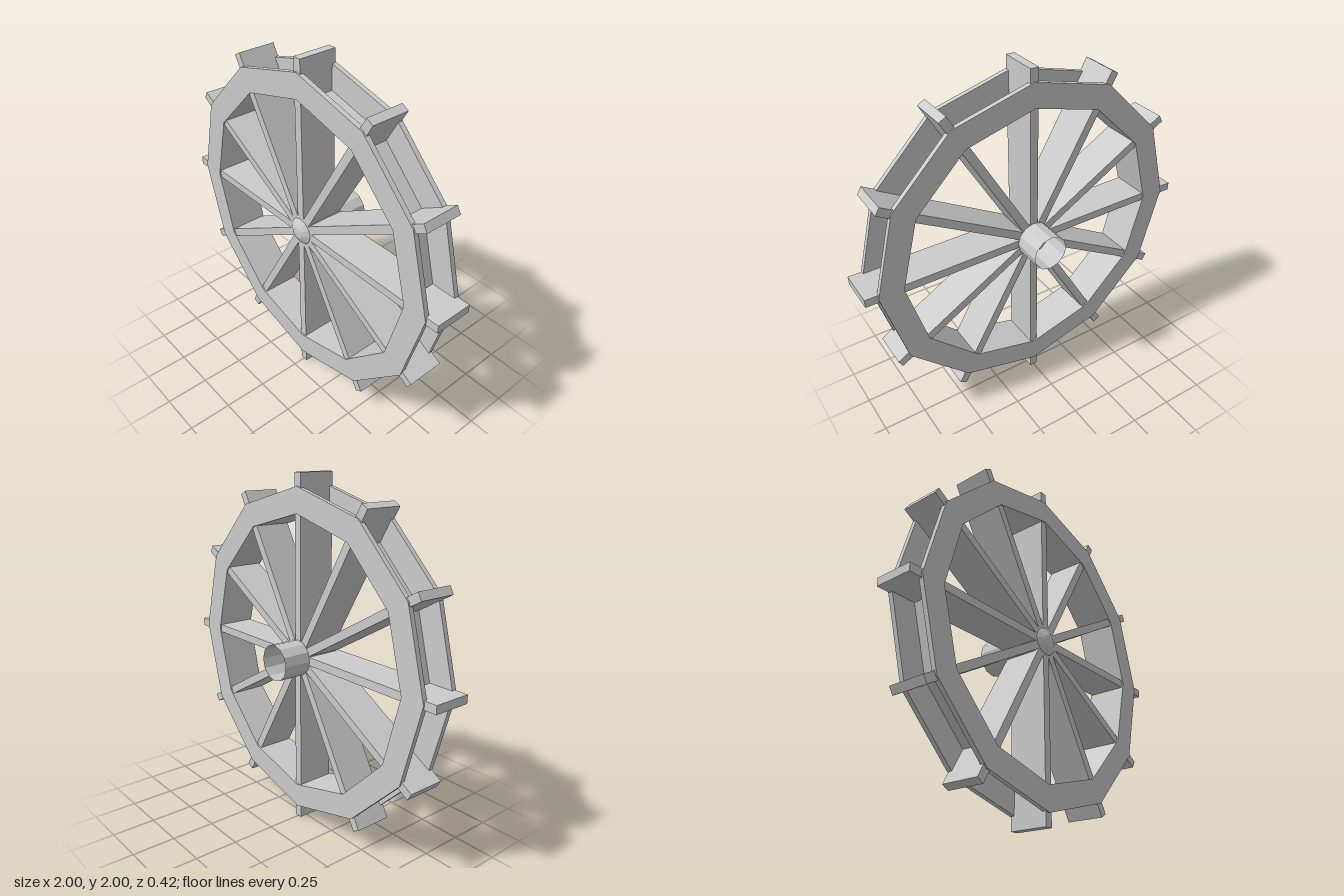
import * as THREE from 'three';

const SIDES = 12;
const OUTER = 0.93, INNER = 0.79;
const MID_Z = 0.065; // middle of the wheel's depth

export function createModel() {
  const model = new THREE.Group();
  model.name = 'waterWheel';
  const wheel = new THREE.Group();
  wheel.name = 'wheel';
  wheel.position.y = 1;
  model.add(wheel);

  const solid = new THREE.MeshStandardMaterial({ color: 0xcccccc, flatShading: true });
  const thin = new THREE.MeshStandardMaterial({ color: 0xcccccc, flatShading: true, side: THREE.DoubleSide });

  const add = (name, geometry, material, z = 0) => {
    const mesh = new THREE.Mesh(geometry, material);
    mesh.name = name;
    mesh.position.z = z;
    wheel.add(mesh);
    return mesh;
  };
  const polygon = (r) => Array.from({ length: SIDES }, (_, i) => {
    const a = (i / SIDES) * Math.PI * 2;
    return new THREE.Vector2(r * Math.cos(a), r * Math.sin(a));
  });

  // Two twelve-sided rims
  const ring = new THREE.Shape(polygon(OUTER));
  ring.holes.push(new THREE.Path(polygon(INNER).reverse()));
  const rimGeometry = new THREE.ExtrudeGeometry(ring, { depth: 0.028, bevelEnabled: false });
  add('frontRim', rimGeometry, solid, 0.155);
  add('backRim', rimGeometry, solid, -0.053);

  // Thin drum wall joining the rims at their inner edge
  const drum = new THREE.CylinderGeometry(INNER, INNER, 0.19, SIDES, 1, true).rotateX(Math.PI / 2);
  add('drum', drum, thin, MID_Z);

  // Six planks crossing at the hub make twelve spokes with paddle ends
  const plank = new THREE.BoxGeometry(2, 0.047, 0.22);
  for (let i = 0; i < SIDES / 2; i++) {
    add('paddlePlank', plank, solid, MID_Z).rotation.z = (i / SIDES) * Math.PI * 2;
  }

  // Open axle tube, running through the wheel and out at the back
  const axle = new THREE.CylinderGeometry(0.102, 0.102, 0.36, SIDES, 1, true).rotateX(Math.PI / 2);
  add('axle', axle, thin, -0.03);

  // Faceted cap on the front of the hub
  const capProfile = [[0.102, 0.15], [0.075, 0.18], [0.035, 0.202], [0, 0.206]]
    .map(([r, z]) => new THREE.Vector2(r, z));
  add('hubCap', new THREE.LatheGeometry(capProfile, SIDES).rotateX(Math.PI / 2), thin);

  return model;
}
